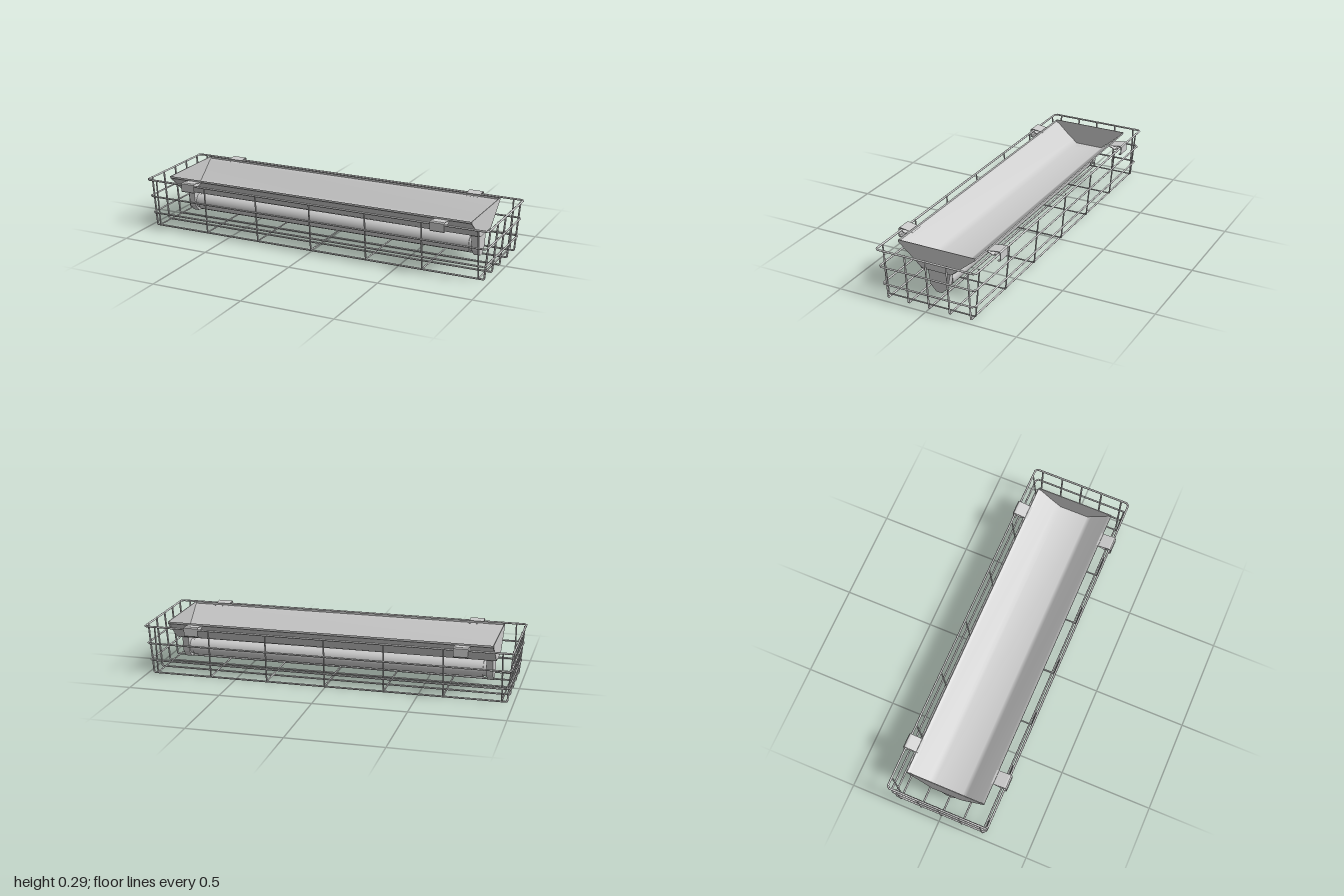
import * as THREE from 'three';
import { mergeGeometries } from 'three/addons/utils/BufferGeometryUtils.js';

const V = (x, y, z) => new THREE.Vector3(x, y, z);

// Straight wire segments joined through a list of points
function wireGeometry(points, radius) {
  const parts = [];
  for (let i = 1; i < points.length; i++) {
    const a = points[i - 1], b = points[i];
    const dir = b.clone().sub(a);
    const g = new THREE.CylinderGeometry(radius, radius, dir.length() + radius * 0.6, 6);
    g.applyQuaternion(new THREE.Quaternion().setFromUnitVectors(V(0, 1, 0), dir.normalize()));
    g.translate((a.x + b.x) / 2, (a.y + b.y) / 2, (a.z + b.z) / 2);
    parts.push(g);
  }
  return mergeGeometries(parts);
}

// Closed rectangular ring with small bevelled corners
function ringPoints(x, y, z) {
  const c = 0.012, pts = [];
  for (const [sx, sz] of [[1, 1], [-1, 1], [-1, -1], [1, -1]]) {
    const p = V(sx * (x - c), y, sz * z), q = V(sx * x, y, sz * (z - c));
    if (sx * sz > 0) pts.push(q, p); else pts.push(p, q);
  }
  pts.push(pts[0].clone());
  return pts;
}

// Smooth thin sheet following a (z, y) profile, swept along x
function sheet(profile, x0, x1) {
  const pos = [], index = [];
  profile.forEach(([z, y]) => pos.push(x0, y, z, x1, y, z));
  for (let i = 0; i < profile.length - 1; i++) {
    const a = i * 2;
    index.push(a, a + 2, a + 1, a + 1, a + 2, a + 3);
  }
  const g = new THREE.BufferGeometry();
  g.setAttribute('position', new THREE.Float32BufferAttribute(pos, 3));
  g.setIndex(index);
  g.computeVertexNormals();
  return g;
}

// Plate with a (z, y) outline and a thickness along x, centred on x = 0
function plate(outline, thickness) {
  const shape = new THREE.Shape(outline.map(([z, y]) => new THREE.Vector2(-z, y)));
  const g = new THREE.ExtrudeGeometry(shape, { depth: thickness, bevelEnabled: false });
  g.translate(0, 0, -thickness / 2);
  return g.rotateY(Math.PI / 2);
}

const mirrored = (half) => [...half, ...half.slice().reverse().map(([z, y]) => [-z, y])];

export function createModel() {
  const model = new THREE.Group();
  model.name = 'guardedTubeLight';

  const metal = new THREE.MeshStandardMaterial({ color: 0xcccccc, side: THREE.DoubleSide });
  metal.name = 'light grey metal';

  const add = (parent, name, geometry) => {
    const mesh = new THREE.Mesh(geometry, metal);
    mesh.name = name;
    parent.add(mesh);
    return mesh;
  };

  // Wire guard: three rings, widening to the rim
  const guard = new THREE.Group();
  guard.name = 'wireGuard';
  model.add(guard);
  for (const [x, y, z, r] of [
    [0.994, 0.279, 0.279, 0.0055],
    [0.985, 0.182, 0.27, 0.005],
    [0.976, 0.085, 0.26, 0.005],
  ]) add(guard, 'guardRing', wireGeometry(ringPoints(x, y, z), r));

  // Cross wires, bent up both long sides
  for (const x of [-0.94, -0.635, -0.32, 0, 0.32, 0.635, 0.94]) {
    const pts = mirrored([[0.272, 0.28], [0.248, 0.019], [0.244, 0.015]])
      .map(([z, y]) => V(x, y, z));
    add(guard, 'crossWire', wireGeometry(pts, 0.0042));
  }

  // Long wires, bent up both ends
  for (const z of [-0.235, -0.117, 0, 0.117, 0.235]) {
    const pts = mirrored([[0.99, 0.28], [0.967, 0.013], [0.962, 0.008]])
      .map(([x, y]) => V(x, y, z));
    add(guard, 'longWire', wireGeometry(pts, 0.005));
  }

  // Open trough reflector with lips and end plates
  const reflector = new THREE.Group();
  reflector.name = 'reflector';
  model.add(reflector);
  const half = [[0.217, 0.285], [0.2, 0.277], [0.105, 0.189], [0.08, 0.172]];
  add(reflector, 'trough', sheet(mirrored(half), -0.885, 0.885));
  for (const s of [-1, 1]) {
    add(reflector, 'rimLip', sheet([[s * 0.217, 0.296], [s * 0.217, 0.285]], -0.885, 0.885));
    add(reflector, 'endPlate',
      plate(mirrored([[0.217, 0.296], [0.217, 0.285], [0.08, 0.172]]), 0.004))
      .position.x = s * 0.883;
  }

  // Lamp tube with a holder and cap at each end
  const tube = new THREE.CylinderGeometry(0.048, 0.048, 1.62, 32).rotateZ(Math.PI / 2);
  add(model, 'lampTube', tube).position.y = 0.102;
  const holderOutline = mirrored([[0.065, 0.172], [0.05, 0.082], [0.017, 0.046]]);
  for (const s of [-1, 1]) {
    add(model, 'lampHolder', plate(holderOutline, 0.035)).position.x = s * 0.847;
    const cap = new THREE.CylinderGeometry(0.042, 0.042, 0.03, 32).rotateZ(Math.PI / 2);
    add(model, 'tubeCap', cap).position.set(s * 0.82, 0.102, 0);
  }

  // Folded clips that hook the reflector over the guard rim
  const hook = [[0.205, 0.284], [0.275, 0.295], [0.285, 0.295], [0.291, 0.289],
    [0.291, 0.246], [0.287, 0.242], [0.274, 0.242], [0.274, 0.246],
    [0.284, 0.246], [0.287, 0.249], [0.287, 0.287], [0.284, 0.291], [0.275, 0.291]];
  const tongue = [[0.205, 0.284], [0.25, 0.266], [0.272, 0.275], [0.271, 0.279],
    [0.25, 0.27], [0.215, 0.284]];
  for (const x of [-0.727, 0.727]) {
    for (const s of [-1, 1]) {
      const clip = new THREE.Group();
      clip.name = 'rimClip';
      clip.position.x = x;
      model.add(clip);
      for (const [name, path] of [['clipHook', hook], ['clipTongue', tongue]]) {
        add(clip, name, plate(path.map(([z, y]) => [s * z, y]), 0.078));
      }
    }
  }
  return model;
}
